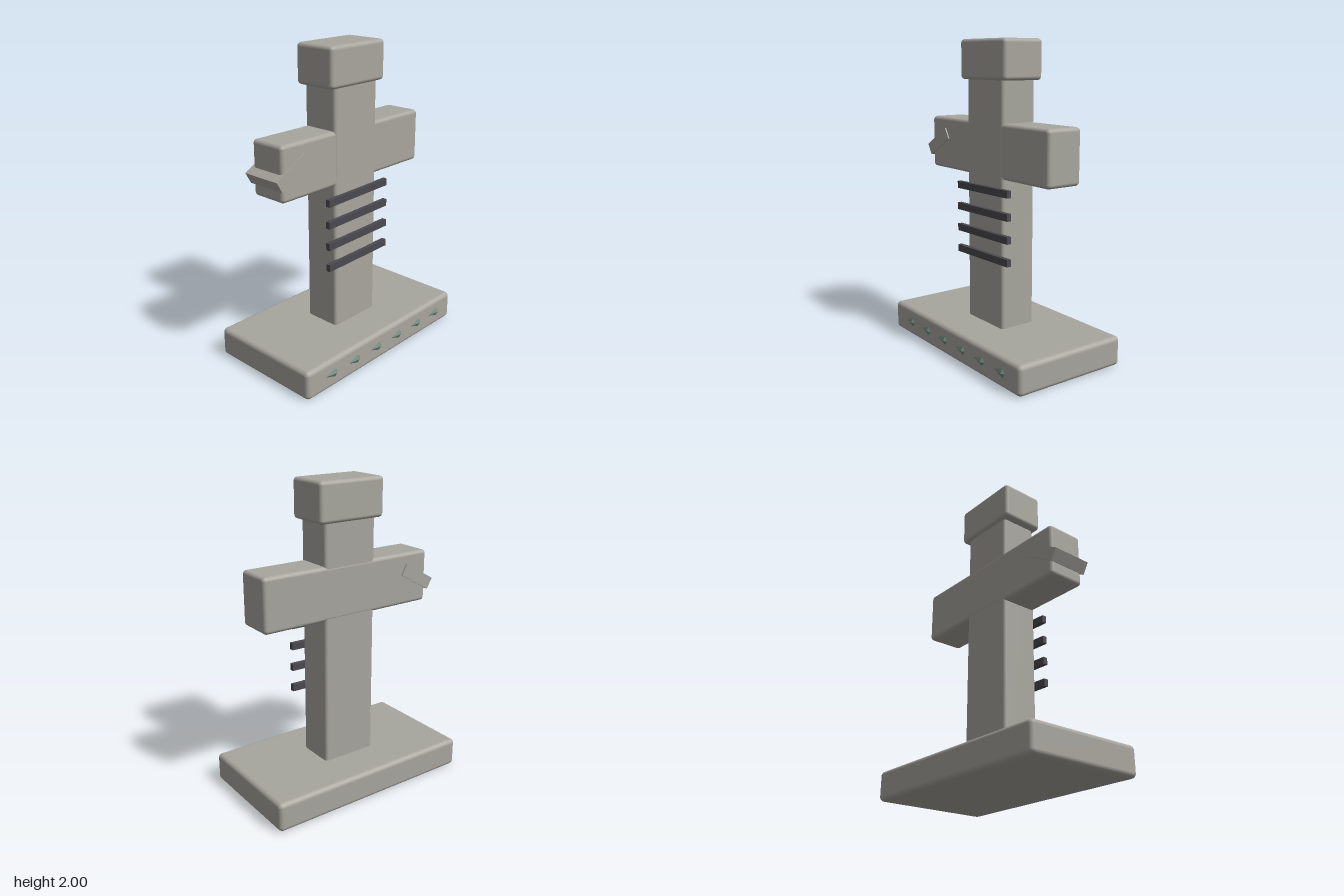
import * as THREE from 'three';
import { RoundedBoxGeometry } from 'three/addons/geometries/RoundedBoxGeometry.js';

export function createModel() {
  const model = new THREE.Group();
  model.name = 'stoneMarker';

  const material = (name, color, flatShading = false) => {
    const m = new THREE.MeshStandardMaterial({ color, flatShading });
    m.name = name;
    return m;
  };
  const stone = material('weatheredStone', 0xa8a69e);
  const iron = material('darkIron', 0x4a494f);
  const moss = material('mossGreen', 0x718a7e, true);

  const add = (name, geometry, mat, x, y, z, tilt = 0) => {
    const mesh = new THREE.Mesh(geometry, mat);
    mesh.name = name;
    mesh.position.set(x, y, z);
    mesh.rotation.z = tilt;
    model.add(mesh);
    return mesh;
  };

  // Block with softened edges, given by its lower and upper corners
  const block = (name, [x0, y0, z0], [x1, y1, z1], radius) => add(
    name,
    new RoundedBoxGeometry(x1 - x0, y1 - y0, z1 - z0, 4, radius),
    stone, (x0 + x1) / 2, (y0 + y1) / 2, (z0 + z1) / 2,
  );

  // Stone body
  block('base', [-0.713, 0, -0.403], [0.71, 0.19, 0.387], 0.03);
  block('post', [-0.19, 0.1, -0.132], [0.186, 1.85, 0.119], 0.022);
  block('crossArm', [-0.62, 1.148, -0.134], [0.614, 1.492, 0.116], 0.025);
  block('cap', [-0.238, 1.75, -0.155], [0.233, 2, 0.14], 0.025);

  // Slanted collar let into the right arm
  add('armCollar', new THREE.BoxGeometry(0.254, 0.08, 0.27), stone, -0.54, 1.323, -0.01, Math.PI / 6);

  // Four slightly tilted bars across the front of the post
  const barGeometry = new THREE.BoxGeometry(0.54, 0.046, 0.03);
  for (let i = 0; i < 4; i++) {
    add('frontBar', barGeometry, iron, 0, 0.64 + i * 0.143, 0.13, 0.018);
  }

  // Pointed studs along the front of the base: octahedra with the waist moved to one side
  const studGeometry = new THREE.OctahedronGeometry(1);
  const p = studGeometry.attributes.position;
  for (let i = 0; i < p.count; i++) {
    const x = p.getX(i);
    const shifted = x < -0.5 ? -0.06 : x > 0.5 ? 0.045 : 0.022;
    p.setXYZ(i, shifted, p.getY(i) * 0.03, p.getZ(i) * 0.015);
  }
  studGeometry.computeVertexNormals();
  for (let i = 0; i < 6; i++) {
    add('baseStud', studGeometry, moss, -0.502 + i * 0.206, 0.098, 0.387);
  }

  return model;
}
